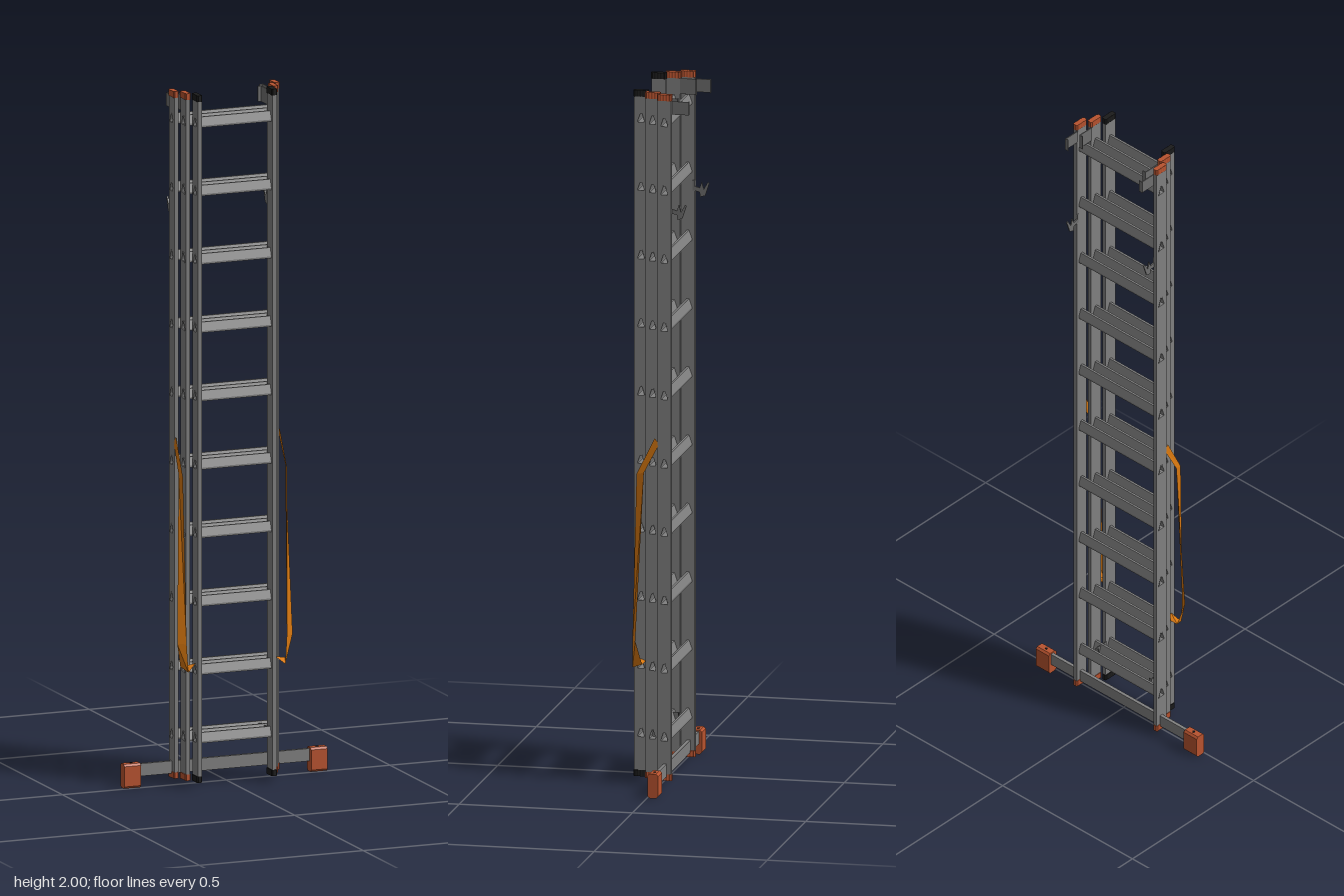
import * as THREE from 'three';

const mat = (name, color, side = THREE.FrontSide) => {
  const m = new THREE.MeshStandardMaterial({ color, side });
  m.name = name;
  return m;
};

export function createModel() {
  const metal = mat('aluminium grey', 0x808080);
  const metalSheet = mat('hook grey', 0x707070, THREE.DoubleSide);
  const red = mat('brick red plastic', 0xb8532f);
  const black = mat('black plastic', 0x1a1a1a);
  const orange = mat('orange strap', 0xd9780f, THREE.DoubleSide);

  const root = new THREE.Group();
  root.name = 'threePartLadder';
  const add = (parent, name, geo, material, x = 0, y = 0, z = 0) => {
    const m = new THREE.Mesh(geo, material);
    m.name = name;
    m.position.set(x, y, z);
    parent.add(m);
    return m;
  };
  const box = (w, h, d) => new THREE.BoxGeometry(w, h, d);

  // Extrudes a side profile (z, y) across the x axis, centred
  const across = (shape, width) => new THREE.ExtrudeGeometry(shape, { depth: width, bevelEnabled: false })
    .translate(0, 0, -width / 2).rotateY(-Math.PI / 2);

  // Rungs are hollow tubes with a blunt triangular section
  const rungY = Array.from({ length: 10 }, (_, i) => 0.144 + i * 0.1973);
  const triangle = (w, h, cy, Type) => {
    const t = new Type();
    t.moveTo(-w / 2, cy - h / 2);
    t.lineTo(w / 2, cy - h / 2);
    t.lineTo(w / 2, cy - h * 0.32);
    t.lineTo(w * 0.14, cy + h / 2);
    t.lineTo(-w * 0.14, cy + h / 2);
    t.lineTo(-w / 2, cy - h * 0.32);
    t.closePath();
    return t;
  };

  // Rail: flat bar pierced by every rung
  const railShape = new THREE.Shape([[-0.02, 0.03], [0.02, 0.03], [0.02, 1.985], [-0.02, 1.985]]
    .map(p => new THREE.Vector2(...p)));
  rungY.forEach(y => railShape.holes.push(triangle(0.019, 0.025, y, THREE.Path)));
  const railGeo = across(railShape, 0.012);

  // End cap: ribbed plan outline, extruded upward
  const capOutline = [];
  for (let i = 0; i <= 10; i++) {
    const taper = i === 0 || i === 10 ? 0.005 : (i % 2 ? 0.0085 : 0.0073);
    capOutline.push([taper, -0.0215 + i * 0.0043]);
  }
  const capPts = [...capOutline, ...capOutline.map(([x, z]) => [-x, z]).reverse()]
    .map(p => new THREE.Vector2(...p));
  const capGeo = new THREE.ExtrudeGeometry(new THREE.Shape(capPts), { depth: 0.018, bevelEnabled: false })
    .rotateX(-Math.PI / 2);

  // Three nested ladder sections
  const sections = [
    { name: 'backSection', x: 0.154, z: -0.016, cap: red },
    { name: 'middleSection', x: 0.134, z: 0.022, cap: red },
    { name: 'frontSection', x: 0.114, z: 0.06, cap: black },
  ];
  for (const s of sections) {
    const g = new THREE.Group();
    g.name = s.name;
    g.position.z = s.z;
    root.add(g);
    for (const side of [-1, 1]) {
      add(g, 'rail', railGeo, metal, side * s.x);
      add(g, 'topCap', capGeo, s.cap, side * s.x, 1.982);
      add(g, 'foot', capGeo, s.cap, side * s.x, 0.018);
    }
    const rung = triangle(0.023, 0.029, 0, THREE.Shape);
    rung.holes.push(triangle(0.018, 0.024, 0, THREE.Path));
    const rungGeo = across(rung, s.x * 2 + 0.0135);
    rungY.forEach(y => add(g, 'rung', rungGeo, metal, 0, y));
  }

  // Stabiliser bar with end shoes
  const base = new THREE.Group();
  base.name = 'stabiliser';
  root.add(base);
  add(base, 'crossBar', box(0.56, 0.036, 0.01), metal, 0, 0.048, -0.018);
  const shoe = new THREE.Shape([[-0.0155, 0.006], [-0.01, 0], [0.01, 0], [0.0155, 0.006],
    [0.0155, 0.064], [0.01, 0.07], [-0.01, 0.07], [-0.0155, 0.064]].map(p => new THREE.Vector2(...p)));
  for (const side of [-1, 1]) {
    add(base, 'endShoe', across(shoe, 0.05), red, side * 0.285, 0, -0.016);
    add(base, 'shoePin', new THREE.CylinderGeometry(0.004, 0.004, 0.002, 10), black, side * 0.284, 0.0705, -0.016);
  }

  // Curved catch hook profile, behind the back section
  const hook = new THREE.Shape([[-0.036, 1.685], [-0.036, 1.668], [-0.05, 1.664], [-0.056, 1.682],
    [-0.062, 1.66], [-0.074, 1.682], [-0.078, 1.678], [-0.066, 1.642], [-0.052, 1.638],
    [-0.05, 1.652], [-0.03, 1.656], [-0.03, 1.685]].map(p => new THREE.Vector2(...p)));

  for (const side of [-1, 1]) {
    // Guide brackets linking the sections
    const guides = new THREE.Group();
    guides.name = 'guideBrackets';
    root.add(guides);
    add(guides, 'bracketPlate', box(0.003, 0.038, 0.05), metalSheet, side * 0.147, 1.96, -0.058);
    add(guides, 'bracketLip', box(0.012, 0.038, 0.002), metalSheet, side * 0.142, 1.96, -0.083);
    add(guides, 'bracketPlate', box(0.003, 0.045, 0.048), metalSheet, side * 0.1265, 1.96, -0.022);
    add(guides, 'bracketLip', box(0.012, 0.045, 0.002), metalSheet, side * 0.122, 1.96, -0.046);
    add(guides, 'lowerPlate', box(0.003, 0.03, 0.042), metalSheet, side * 0.106, 0.14, 0.02);
    add(guides, 'lowerLip', box(0.01, 0.03, 0.002), metalSheet, side * 0.102, 0.14, 0);
    const h = across(hook, 0.004);
    add(guides, 'catchHook', h, metalSheet, side * 0.148);

    // Spreader strap: flat ribbon defined by its two edges
    const edges = [
      [0.158, 1.005, 0.012, 0.16, 0.99, -0.002],
      [0.159, 0.9, 0.064, 0.163, 0.905, 0.042],
      [0.153, 0.42, 0.077, 0.176, 0.42, 0.064],
      [0.148, 0.338, 0.078, 0.16, 0.35, 0.048],
      [0.121, 0.36, 0.066, 0.121, 0.352, 0.045],
    ];
    const pos = [], idx = [];
    edges.forEach(([ax, ay, az, bx, by, bz], i) => {
      pos.push(side * ax, ay, az, side * bx, by, bz);
      const k = i * 2;
      if (i < edges.length - 1) idx.push(k, k + 2, k + 1, k + 1, k + 2, k + 3);
    });
    if (side < 0) idx.reverse();
    const ribbon = new THREE.BufferGeometry();
    ribbon.setAttribute('position', new THREE.Float32BufferAttribute(pos, 3));
    ribbon.setIndex(idx);
    const flat = ribbon.toNonIndexed();
    flat.computeVertexNormals();
    add(root, 'spreaderStrap', flat, orange);
  }
  return root;
}
